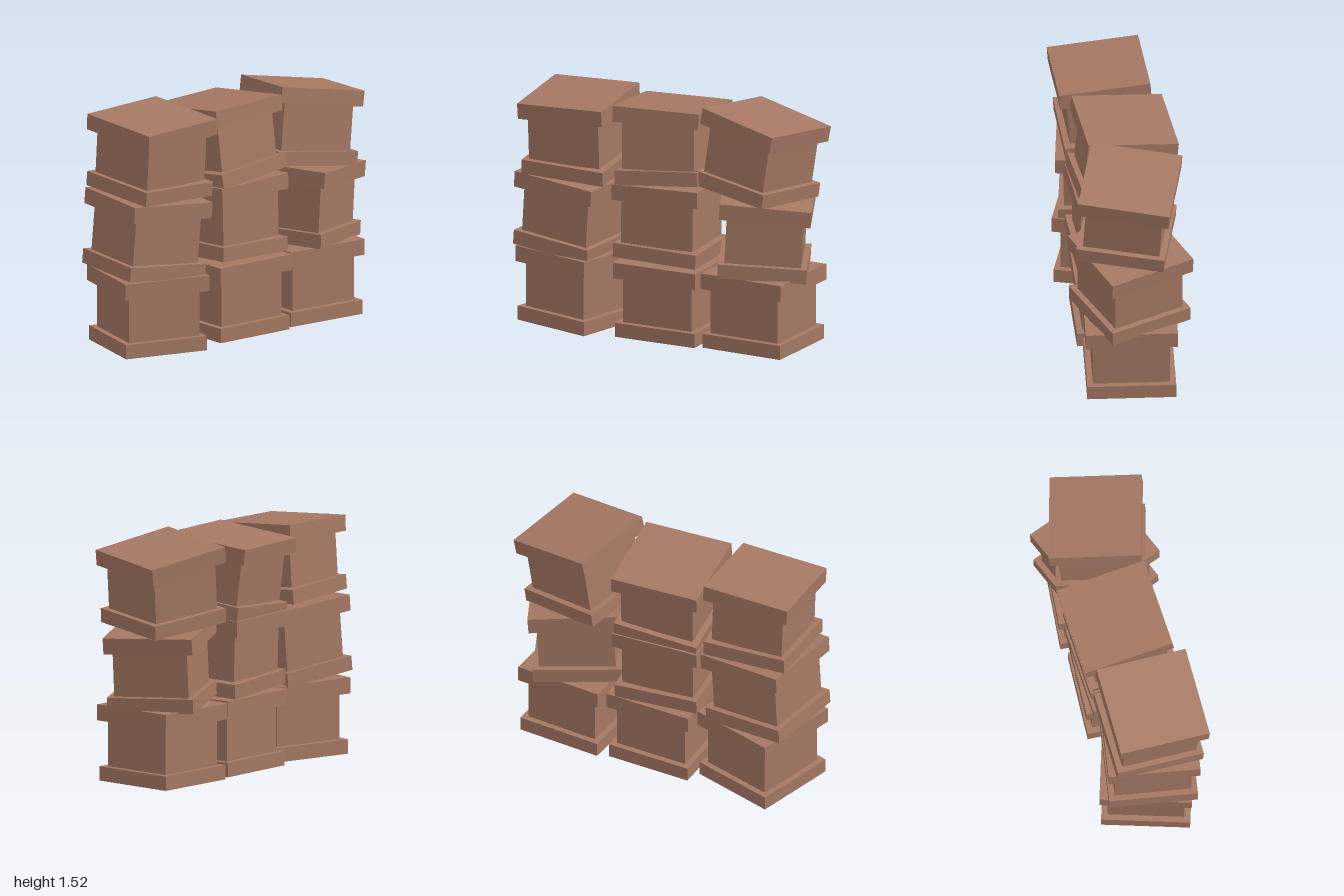
import * as THREE from 'three';

// One row per crate: centre x, y, z, yaw, lean about x, lean about z,
// then the extra lean (about x) of its base slab and lid slab
const CRATES = [
  // front stack
  [-0.005, 0.238, 0.645, -0.295, 0, 0, 0, 0],
  [0.003, 0.72, 0.667, -0.155, -0.07, -0.03, -0.01, 0],
  [0.018, 1.222, 0.642, 0.01, 0, -0.068, -0.04, 0.025],
  // middle stack
  [0, 0.238, 0, -0.035, 0, 0, 0, 0],
  [-0.002, 0.74, 0.025, 0.05, 0, 0.03, -0.04, 0.01],
  [-0.03, 1.212, 0.032, 0.0625, 0.045, 0.1, 0.04, -0.03],
  // back stack
  [0, 0.238, -0.602, -0.08, 0, 0, 0, 0],
  [0, 0.72, -0.62, 0.385, -0.06, 0, 0, -0.03],
  [0.01, 1.217, -0.593, -0.265, -0.13, 0.045, 0.01, -0.04],
];

export function createModel() {
  const model = new THREE.Group();
  model.name = 'crateStacks';
  const brown = new THREE.MeshStandardMaterial({ color: 0xa57863 });
  brown.name = 'brown';

  const baseGeometry = new THREE.BoxGeometry(0.55, 0.09, 0.55);
  const bodyGeometry = new THREE.BoxGeometry(0.476, 0.3, 0.476);
  const lidGeometry = new THREE.BoxGeometry(0.57, 0.1, 0.57);

  // Adds one block of a crate, turned about y and then leaned
  function addBlock(parent, name, geometry, y, yaw, lean) {
    const mesh = new THREE.Mesh(geometry, brown);
    mesh.name = name;
    mesh.position.y = y;
    mesh.rotation.set(lean, yaw, 0, 'XZY');
    parent.add(mesh);
  }

  for (const [x, y, z, yaw, leanX, leanZ, baseLean, lidLean] of CRATES) {
    const crate = new THREE.Group();
    crate.name = 'crate';
    crate.position.set(x, y, z);
    crate.rotation.set(leanX, 0, leanZ, 'XZY');
    addBlock(crate, 'baseSlab', baseGeometry, -0.193, yaw, baseLean);
    addBlock(crate, 'crateBody', bodyGeometry, 0, yaw, 0);
    addBlock(crate, 'lidSlab', lidGeometry, 0.19, yaw, lidLean);
    model.add(crate);
  }
  return model;
}
